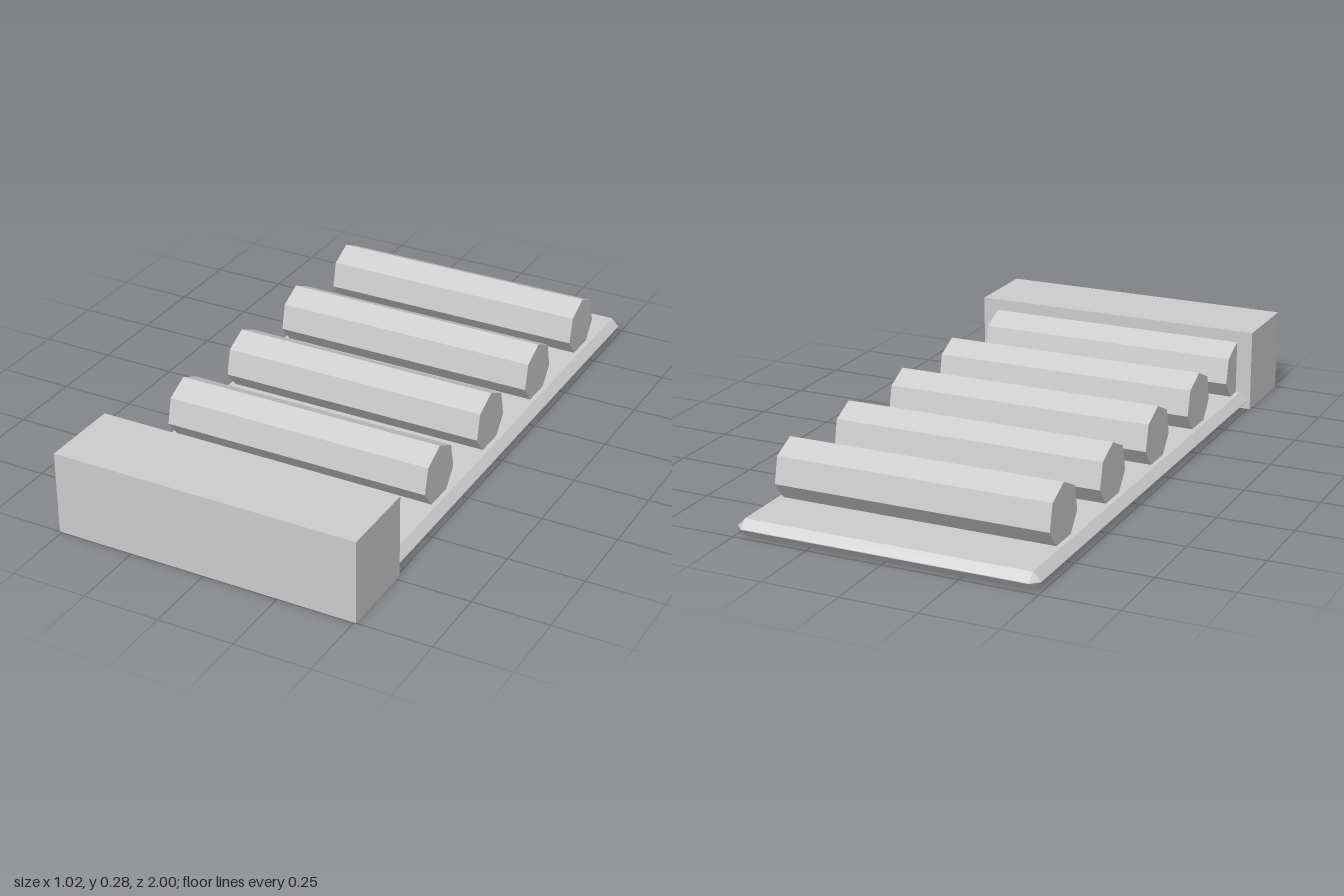
import * as THREE from 'three';
import { ConvexGeometry } from 'three/addons/geometries/ConvexGeometry.js';

const material = new THREE.MeshStandardMaterial({ color: 0xcccccc, flatShading: true });

function addPart(group, name, geometry, x, y, z) {
  const mesh = new THREE.Mesh(geometry, material);
  mesh.name = name;
  mesh.position.set(x, y, z);
  group.add(mesh);
  return mesh;
}

// Box with every edge and corner cut by one flat bevel
function bevelledBox(width, height, depth, bevel) {
  const half = [width / 2, height / 2, depth / 2];
  const points = [];
  for (const sx of [-1, 1]) for (const sy of [-1, 1]) for (const sz of [-1, 1]) {
    for (let axis = 0; axis < 3; axis++) {
      const [x, y, z] = half.map((h, i) => (i === axis ? h : h - bevel));
      points.push(new THREE.Vector3(sx * x, sy * y, sz * z));
    }
  }
  return new ConvexGeometry(points);
}

export function createModel() {
  const model = new THREE.Group();
  model.name = 'rollerBed';

  // Thin bevelled base plate, running into the end block
  addPart(model, 'basePlate', bevelledBox(0.994, 0.054, 1.98, 0.026), 0, 0.028, -0.01);

  // Solid block across the front end
  addPart(model, 'endBlock', new THREE.BoxGeometry(1.016, 0.275, 0.27), 0, 0.1375, 0.865);

  // Five seven-sided rollers, one edge up; the first is half sunk in the block
  const rollerGeometry = new THREE.CylinderGeometry(0.1, 0.1, 0.91, 7);
  rollerGeometry.rotateY(-Math.PI / 2); // first edge to -x
  rollerGeometry.rotateZ(-Math.PI / 2); // axis along x, first edge up
  for (let i = 0; i < 5; i++) {
    addPart(model, `roller${i + 1}`, rollerGeometry, 0, 0.136, 0.728 - i * 0.364);
  }

  return model;
}
